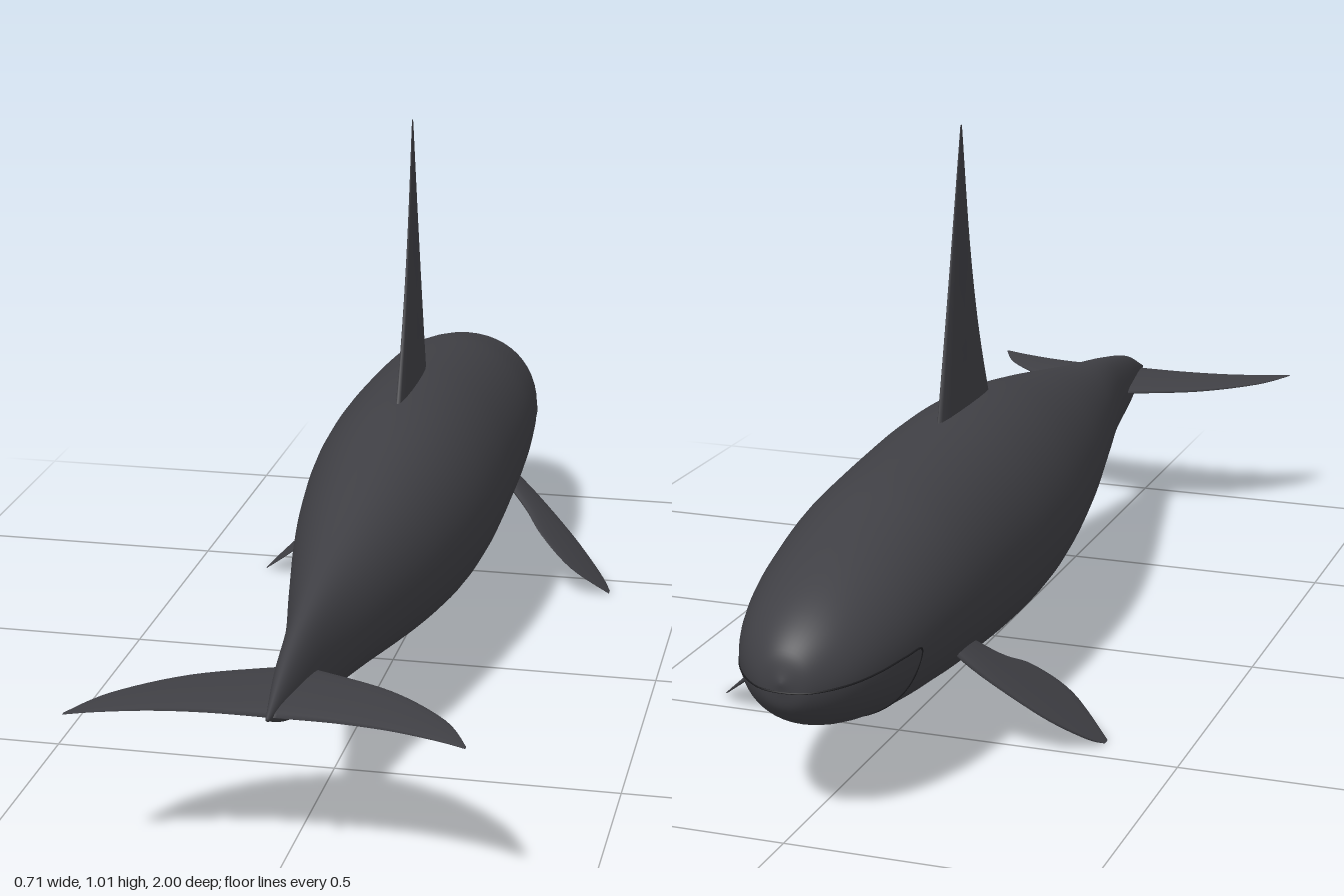
import * as THREE from 'three';

const skin = new THREE.MeshStandardMaterial({ color: 0x404045 });
skin.name = 'charcoal skin';
const seam = new THREE.MeshStandardMaterial({ color: 0x1c1c1f });
seam.name = 'dark mouth line';

// Joins rings of points (counter-clockwise about the loft direction) into a smooth skin
function loft(rings) {
  const n = rings[0].length, index = [];
  for (let i = 0; i < rings.length - 1; i++) {
    for (let j = 0; j < n; j++) {
      const a = i * n + j, b = i * n + (j + 1) % n;
      index.push(a, b, a + n, b, b + n, a + n);
    }
  }
  const geo = new THREE.BufferGeometry().setFromPoints(rings.flat());
  geo.setIndex(index);
  geo.computeVertexNormals();
  return geo;
}

// Body sections: half height, half width, z (nose at -z)
const spine = new THREE.CatmullRomCurve3([
  [0.004, 0.004, -1], [0.05, 0.05, -0.985], [0.095, 0.1, -0.93], [0.138, 0.14, -0.82],
  [0.181, 0.168, -0.61], [0.206, 0.177, -0.34], [0.212, 0.178, -0.18], [0.205, 0.17, -0.02],
  [0.173, 0.14, 0.2], [0.125, 0.088, 0.46], [0.088, 0.042, 0.68], [0.052, 0.022, 0.84],
  [0.003, 0.003, 0.96],
].map(p => new THREE.Vector3(...p)));
const sections = spine.getPoints(96);
const centreY = z => 0.293 - 0.023 * Math.max(0, (-z - 0.6) / 0.4);

function bodyPoint(s, angle) {
  return new THREE.Vector3(s.y * Math.cos(angle), centreY(s.z) + s.x * Math.sin(angle), s.z);
}

function bodyGeometry() {
  const rings = sections.map(s =>
    Array.from({ length: 48 }, (_, j) => bodyPoint(s, j / 48 * Math.PI * 2)));
  // Close both ends on a point
  for (const [end, add] of [[sections[0], 'unshift'], [sections.at(-1), 'push']]) {
    rings[add](Array.from({ length: 48 }, () => new THREE.Vector3(0, centreY(end.z), end.z)));
  }
  return loft(rings);
}

// Lens-shaped fin between a leading and a trailing edge, given as [span, z]
function finGeometry(lead, trail, thickness, root, span) {
  const [front, back] = [lead, trail].map(e =>
    new THREE.SplineCurve(e.map(p => new THREE.Vector2(...p))));
  const rings = [], steps = 24, sides = 16;
  for (let i = 0; i <= steps; i++) {
    const u = i / steps, f = front.getPoint(u), b = back.getPoint(u);
    rings.push(Array.from({ length: sides }, (_, j) => {
      const a = j / sides * Math.PI * 2;
      const p = f.clone().lerp(b, 0.5 + 0.5 * Math.cos(a));
      return new THREE.Vector3(p.y, thickness * (1 - u * 0.95) * Math.sin(a), p.x);
    }));
  }
  const chord = new THREE.Vector3(0, 0, 1);
  const side = span.clone().cross(chord);
  const m = new THREE.Matrix4().makeBasis(chord, side, span).setPosition(root);
  return loft(rings).applyMatrix4(m);
}

// Mouth line along both cheeks, joined by a seam under the throat
function mouthGeometry() {
  const find = z => sections.reduce((a, b) => Math.abs(b.z - z) < Math.abs(a.z - z) ? b : a);
  const cheek = [-0.992, -0.97, -0.93, -0.88, -0.82].map(z => {
    const s = find(z);
    const y = 0.255 + (s.z + 1) * 0.08;
    return bodyPoint(s, Math.asin((y - centreY(s.z)) / s.x));
  });
  const throat = [];
  for (let j = 0; j <= 10; j++) throat.push(bodyPoint(find(-0.77), -0.1 - j / 10 * (Math.PI - 0.2)));
  const other = cheek.map(p => new THREE.Vector3(-p.x, p.y, p.z)).reverse();
  const path = new THREE.CatmullRomCurve3([...cheek, ...throat, ...other], true);
  return new THREE.TubeGeometry(path, 160, 0.0018, 6, true);
}

export function createModel() {
  const model = new THREE.Group();
  model.name = 'whale';
  const add = (name, geo, mat = skin) => {
    const mesh = new THREE.Mesh(geo, mat);
    mesh.name = name;
    model.add(mesh);
  };

  add('body', bodyGeometry());
  add('mouthLine', mouthGeometry(), seam);

  // Tall dorsal fin
  add('dorsalFin', finGeometry(
    [[0.44, -0.315], [0.5, -0.3], [0.64, -0.265], [0.8, -0.228], [1.01, -0.18]],
    [[0.44, -0.01], [0.5, -0.04], [0.64, -0.095], [0.8, -0.137], [1.01, -0.174]],
    0.017, new THREE.Vector3(), new THREE.Vector3(0, 1, 0)));

  // Paired flippers and tail flukes
  for (const [label, s] of [['left', 1], ['right', -1]]) {
    add(label + 'Flipper', finGeometry(
      [[0, -0.59], [0.092, -0.577], [0.21, -0.534], [0.29, -0.48], [0.322, -0.442]],
      [[0, -0.53], [0.085, -0.476], [0.14, -0.418], [0.224, -0.388], [0.322, -0.425]],
      0.012, new THREE.Vector3(s * 0.11, 0.214, 0),
      new THREE.Vector3(s * 0.76, -0.65, 0).normalize()));
    add(label + 'Fluke', finGeometry(
      [[0, 0.735], [0.03, 0.745], [0.165, 0.805], [0.27, 0.9], [0.32, 0.992]],
      [[0, 0.945], [0.1, 0.947], [0.19, 0.958], [0.27, 0.98], [0.32, 1]],
      0.012, new THREE.Vector3(0, 0.291, 0), new THREE.Vector3(s, 0, 0)));
  }
  return model;
}
